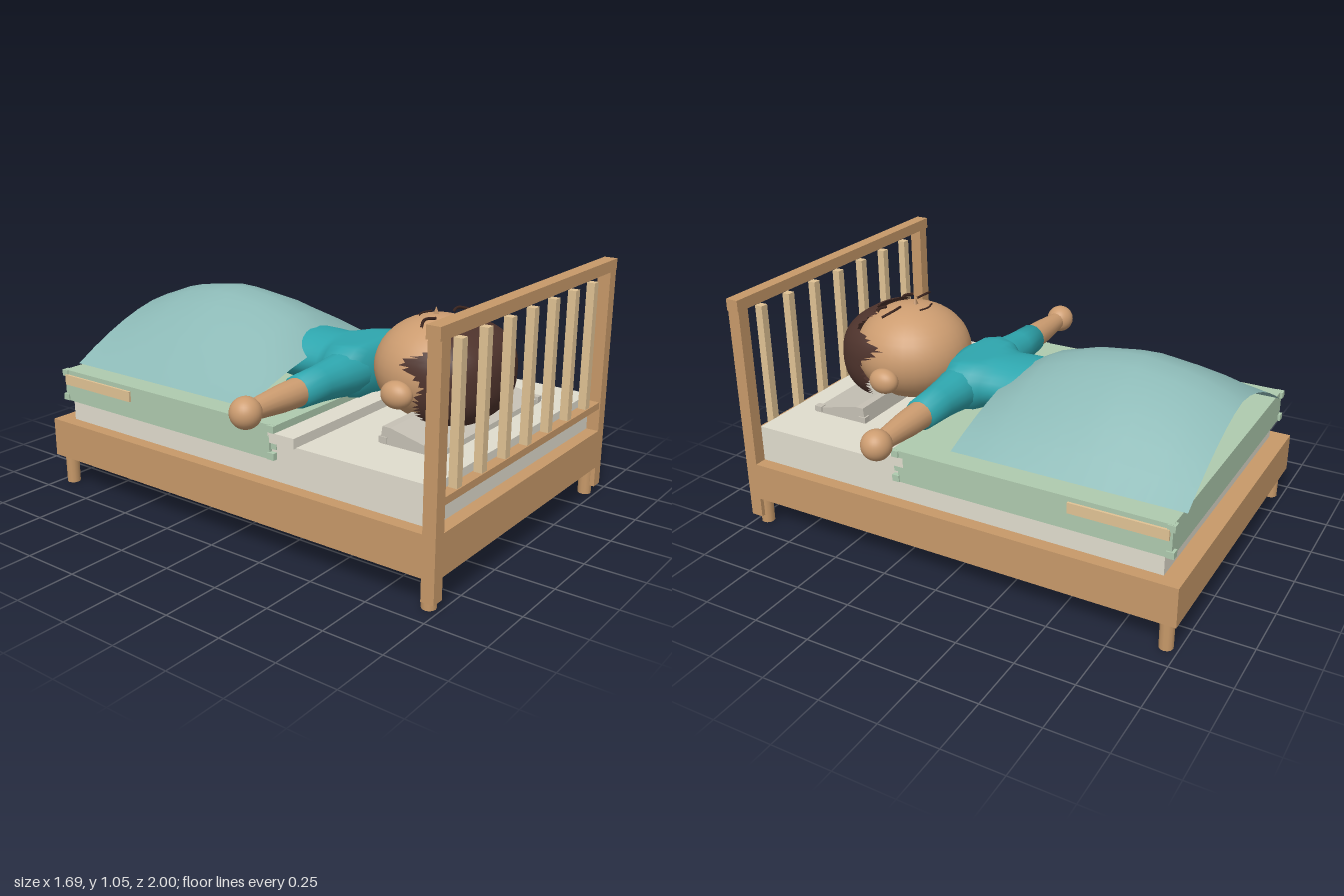
import * as THREE from 'three';

const mat = (name, color, side = THREE.FrontSide) => {
  const m = new THREE.MeshStandardMaterial({ color, side });
  m.name = name;
  return m;
};
const M = {
  wood: mat('wood', 0xc79969),
  slat: mat('pale wood', 0xe0c294),
  mattress: mat('mattress', 0xe0dccd),
  pillow: mat('pillow', 0xc6c1b5),
  sheet: mat('green sheet', 0xaecaae),
  blanket: mat('blanket', 0x8cb9b6, THREE.DoubleSide),
  shirt: mat('teal shirt', 0x2ea6ae, THREE.DoubleSide),
  skin: mat('skin', 0xcc9c70),
  hair: mat('hair', 0x4e332c, THREE.DoubleSide),
  line: mat('face lines', 0x3d2620),
};

// Piecewise linear lookup in [key, value] pairs with rising keys
function lerpTable(t, k) {
  if (k <= t[0][0]) return t[0][1];
  for (let i = 1; i < t.length; i++) {
    if (k <= t[i][0]) {
      const f = (k - t[i - 1][0]) / (t[i][0] - t[i - 1][0]);
      return t[i - 1][1] + f * (t[i][1] - t[i - 1][1]);
    }
  }
  return t[t.length - 1][1];
}

export function createModel() {
  const root = new THREE.Group();
  root.name = 'bedWithSleeper';
  const add = (name, geo, m, parent) => {
    const mesh = new THREE.Mesh(geo, m);
    mesh.name = name;
    parent.add(mesh);
    return mesh;
  };
  // Box given by its limits
  const box = (name, m, x0, x1, y0, y1, z0, z1, parent) => {
    const g = new THREE.BoxGeometry(x1 - x0, y1 - y0, z1 - z0);
    g.translate((x0 + x1) / 2, (y0 + y1) / 2, (z0 + z1) / 2);
    return add(name, g, m, parent);
  };
  const ball = (name, m, r, x, y, z, parent) => {
    const g = new THREE.SphereGeometry(1, 32, 20);
    g.scale(...r);
    g.translate(x, y, z);
    return add(name, g, m, parent);
  };
  const lathe = (pts, n) => new THREE.LatheGeometry(pts.map(p => new THREE.Vector2(...p)), n);
  const group = name => {
    const g = new THREE.Group();
    g.name = name;
    root.add(g);
    return g;
  };

  // Bed frame
  const frame = group('bedFrame');
  box('footRail', M.wood, -0.69, 0.69, 0.13, 0.3, -1, -0.92, frame);
  box('headBoard', M.wood, -0.64, 0.64, 0.13, 0.3, 0.945, 1, frame);
  box('lowerHeadRail', M.wood, -0.64, 0.64, 0.4, 0.43, 0.95, 0.995, frame);
  box('topHeadRail', M.wood, -0.7, 0.695, 1, 1.05, 0.943, 1, frame);
  for (const s of [-1, 1]) {
    const a = Math.min(s * 0.635, s * 0.69), b = Math.max(s * 0.635, s * 0.69);
    box('sideRail', M.wood, a, b, 0.13, 0.3, -0.92, 0.945, frame);
    box('headPost', M.wood, a, b, 0.04, 1, 0.945, 1, frame);
    for (const z of [-0.95, 0.953]) {
      const leg = new THREE.CylinderGeometry(0.03, 0.029, 0.16, 12);
      leg.translate(s * 0.644, 0.08, z);
      add('leg', leg, M.wood, frame);
    }
  }
  for (let i = -3; i <= 3; i++) {
    const x = i * 0.175;
    box('slat', M.slat, x - 0.018, x + 0.018, 0.43, 0.975, 0.955, 0.99, frame);
  }

  // Bedding
  const bedding = group('bedding');
  box('mattress', M.mattress, -0.635, 0.635, 0.25, 0.46, -0.92, 0.945, bedding);
  box('sheetFold', M.mattress, -0.65, 0.65, 0.458, 0.5, 0.2, 0.345, bedding);
  box('sheet', M.sheet, -0.65, 0.65, 0.39, 0.53, -0.95, 0.225, bedding);
  box('sheetLip', M.sheet, -0.64, 0.64, 0.43, 0.53, 0.225, 0.25, bedding);
  for (const s of [-1, 1]) {
    for (const z of [-0.945, 0.235]) for (const y of [0.405, 0.515]) {
      box('sheetCorner', M.sheet, s * 0.64 - 0.016, s * 0.64 + 0.016, y - 0.014, y + 0.014, z - 0.016, z + 0.016, bedding);
    }
    box('sideStrip', M.slat, s * 0.65 - 0.01, s * 0.65 + 0.01, 0.465, 0.51, -0.94, -0.535, bedding);
  }

  // Wedge pillow rising towards the neck, with small corner tabs
  const wedge = new THREE.Shape([[-0.83, 0.455], [-0.565, 0.455], [-0.575, 0.53], [-0.61, 0.53], [-0.825, 0.48]]
    .map(p => new THREE.Vector2(...p)));
  const pg = new THREE.ExtrudeGeometry(wedge, { depth: 0.8, bevelEnabled: false });
  pg.rotateY(Math.PI / 2);
  pg.translate(-0.4, 0, 0);
  add('pillow', pg, M.pillow, bedding);
  for (const x of [-0.39, 0.39]) for (const z of [0.58, 0.815]) {
    box('pillowCorner', M.pillow, x - 0.016, x + 0.016, 0.465, 0.49, z - 0.018, z + 0.018, bedding);
  }

  // Domed blanket: ridge height along z, falling to the sheet at both sides
  const ridge = [[-0.967, 0.745], [-0.76, 0.823], [-0.52, 0.86], [-0.3, 0.828], [-0.1, 0.767], [0.033, 0.67]];
  const bg = new THREE.PlaneGeometry(1.11, 1, 12, 12);
  bg.rotateX(-Math.PI / 2);
  bg.translate(0, 0, -0.467);
  const bp = bg.attributes.position;
  for (let i = 0; i < bp.count; i++) {
    const u = Math.min(1, Math.abs(bp.getX(i)) / 0.555);
    bp.setY(i, 0.532 + (lerpTable(ridge, bp.getZ(i)) - 0.532) * (1 - u ** 1.6));
  }
  bg.computeVertexNormals();
  add('blanket', bg, M.blanket, bedding);

  // Torso lying on its back, flaring into the shoulders, flattened at chest and back
  const body = group('sleeper');
  const torso = lathe([[0, -0.3], [0.15, -0.28], [0.18, -0.1], [0.18, 0], [0.175, 0.08], [0.19, 0.12],
    [0.23, 0.155], [0.25, 0.22], [0.23, 0.275], [0.17, 0.3], [0.1, 0.322], [0, 0.322]], 32);
  torso.rotateX(Math.PI / 2);
  torso.scale(1, 0.62, 1);
  const tp = torso.attributes.position;
  for (let i = 0; i < tp.count; i++) tp.setY(i, Math.max(-0.11, Math.min(0.11, tp.getY(i))));
  torso.computeVertexNormals();
  torso.translate(0, 0.62, 0);
  add('torso', torso, M.shirt, body);
  const neck = new THREE.CylinderGeometry(0.07, 0.07, 0.12, 20);
  neck.rotateX(Math.PI / 2);
  neck.translate(0, 0.63, 0.34);
  add('neck', neck, M.skin, body);

  // Outstretched arms
  for (const s of [-1, 1]) {
    const limb = (name, pts, m) => {
      const g = lathe(pts, 16);
      g.rotateZ(-s * Math.PI / 2);
      g.translate(0, 0.615, 0.225);
      add(name, g, m, body);
    };
    limb('sleeve', [[0.095, 0.1], [0.092, 0.2], [0.083, 0.26], [0.074, 0.35], [0.067, 0.48], [0, 0.48]], M.shirt);
    limb('arm', [[0.06, 0.46], [0.055, 0.58], [0.038, 0.76]], M.skin);
    ball('hand', M.skin, [0.063, 0.063, 0.063], s * 0.78, 0.615, 0.225, body);
  }

  // Head and ears
  const head = group('head');
  ball('skull', M.skin, [0.26, 0.215, 0.26], 0, 0.67, 0.57, head);
  for (const s of [-1, 1]) ball('ear', M.skin, [0.05, 0.056, 0.068], s * 0.27, 0.615, 0.55, head);

  // Hair: squarish shell around the crown, fuller at the back, with a zigzag rim
  const rim = [[0, 0.7], [0.8, 0.69], [1.05, 0.63], [1.25, 0.54], [1.38, 0.58], [1.57, 0.655],
    [1.8, 0.62], [2.2, 0.63], [3.15, 0.6]];
  const pw = v => Math.sign(v) * Math.abs(v) ** 0.8;
  const hg = new THREE.SphereGeometry(1, 96, 16);
  const hp = hg.attributes.position, uv = hg.attributes.uv;
  for (let i = 0; i < hp.count; i++) {
    const col = Math.round(uv.getX(i) * 96), phi = (col / 96) * Math.PI * 2;
    const a = Math.acos(Math.max(-1, Math.min(1, -Math.sin(phi))));
    const zig = a < 1.1 ? (Math.abs((col % 12) - 6) / 6 - 0.5) * 0.06 : 0;
    const c = (lerpTable(rim, a) + zig - 0.59) / 0.28;
    const th = (1 - uv.getY(i)) * Math.acos(Math.sign(c) * Math.abs(c) ** 1.25);
    const r = pw(Math.sin(th)), ry = Math.sin(phi) > 0 ? 0.222 : 0.205;
    hp.setXYZ(i, -pw(Math.cos(phi)) * r * 0.285, 0.669 - pw(Math.sin(phi)) * r * ry, 0.59 + pw(Math.cos(th)) * 0.28);
  }
  hg.computeVertexNormals();
  add('hair', hg, M.hair, head);

  // Face lines through [x, y, z] points
  const faceLine = (name, pts, r) => {
    const curve = new THREE.CatmullRomCurve3(pts.map(p => new THREE.Vector3(...p)));
    add(name, new THREE.TubeGeometry(curve, 12, r, 6), M.line, head);
  };
  faceLine('mouth', [[-0.05, 0.878, 0.5], [0, 0.878, 0.487], [0.05, 0.878, 0.5]], 0.004);
  for (const s of [-1, 1]) {
    faceLine('closedEye', [[s * 0.065, 0.884, 0.59], [s * 0.125, 0.889, 0.578], [s * 0.19, 0.872, 0.603]], 0.006);
    faceLine('eyebrow', [[s * 0.065, 0.872, 0.665], [s * 0.1, 0.872, 0.677], [s * 0.14, 0.868, 0.662]], 0.007);
  }
  const nose = new THREE.ConeGeometry(0.026, 0.06, 3);
  nose.translate(0, 0.885, 0.552);
  add('nose', nose, M.skin, head);

  return root;
}
